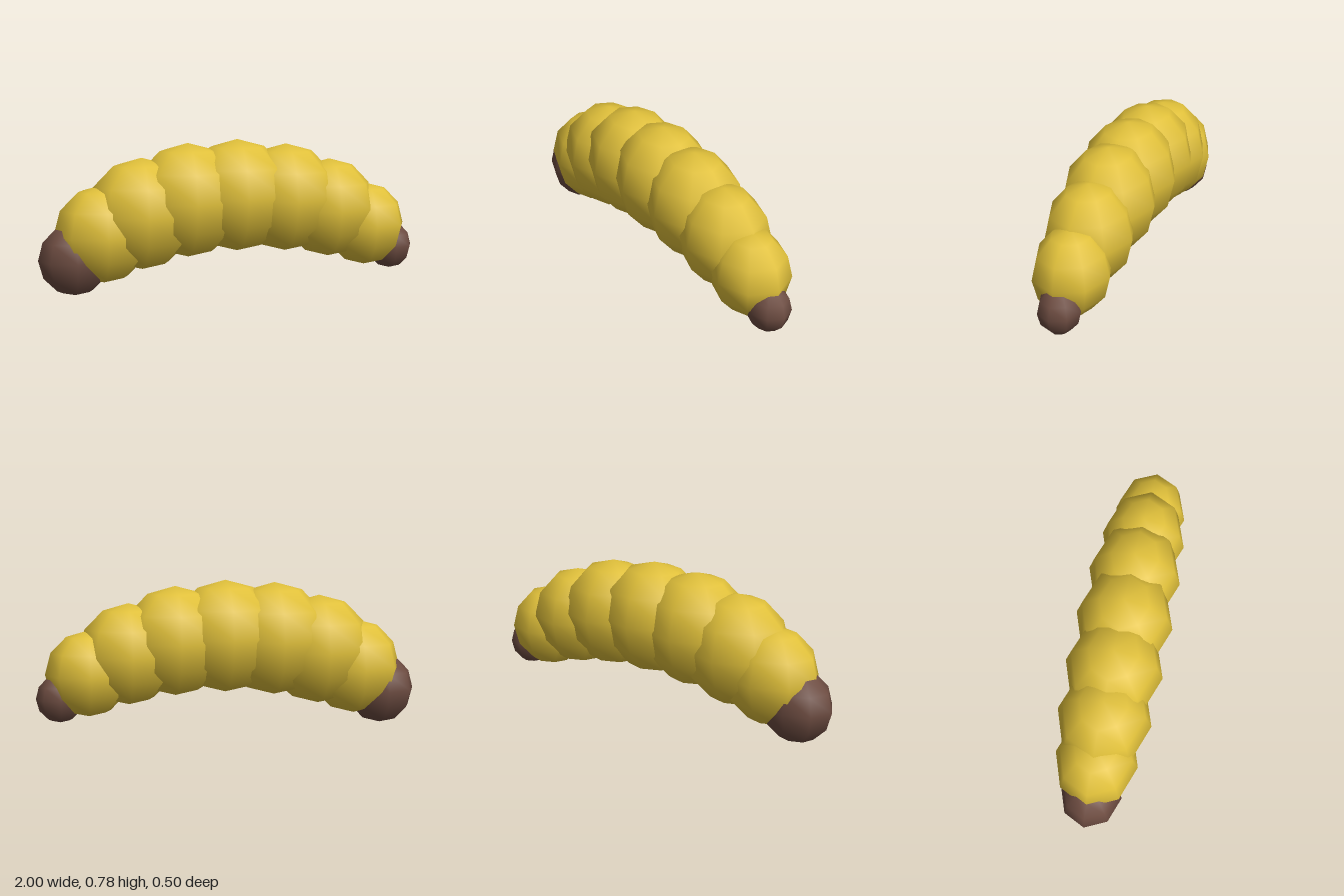
import * as THREE from 'three';

const yellow = new THREE.MeshStandardMaterial({ color: 0xe0c03a });
yellow.name = 'grub yellow';
const brown = new THREE.MeshStandardMaterial({ color: 0x6d4c41 });
brown.name = 'dark brown';

// Low-poly ball with smooth normals, stretched into an ellipsoid
const ball = new THREE.SphereGeometry(1, 8, 6);

function ellipsoid(name, material, [x, y, rx, ry, rz]) {
  const mesh = new THREE.Mesh(ball, material);
  mesh.name = name;
  mesh.position.set(x, y, 0);
  mesh.scale.set(rx, ry, rz);
  return mesh;
}

export function createModel() {
  const grub = new THREE.Group();
  grub.name = 'grub';

  // Arched body: centre x, centre y, then the three radii of each segment
  const segments = [
    [-0.67, 0.31, 0.25, 0.25, 0.212],
    [-0.473, 0.406, 0.284, 0.286, 0.241],
    [-0.233, 0.468, 0.292, 0.294, 0.25],
    [0.027, 0.486, 0.291, 0.291, 0.25],
    [0.288, 0.467, 0.281, 0.282, 0.24],
    [0.528, 0.405, 0.257, 0.26, 0.22],
    [0.733, 0.31, 0.219, 0.22, 0.19],
  ];
  segments.forEach((s, i) => grub.add(ellipsoid(`bodySegment${i + 1}`, yellow, s)));

  // Dark ends
  grub.add(ellipsoid('head', brown, [-0.817, 0.186, 0.183, 0.184, 0.158]));
  grub.add(ellipsoid('tailTip', brown, [0.878, 0.188, 0.122, 0.124, 0.106]));

  return grub;
}
